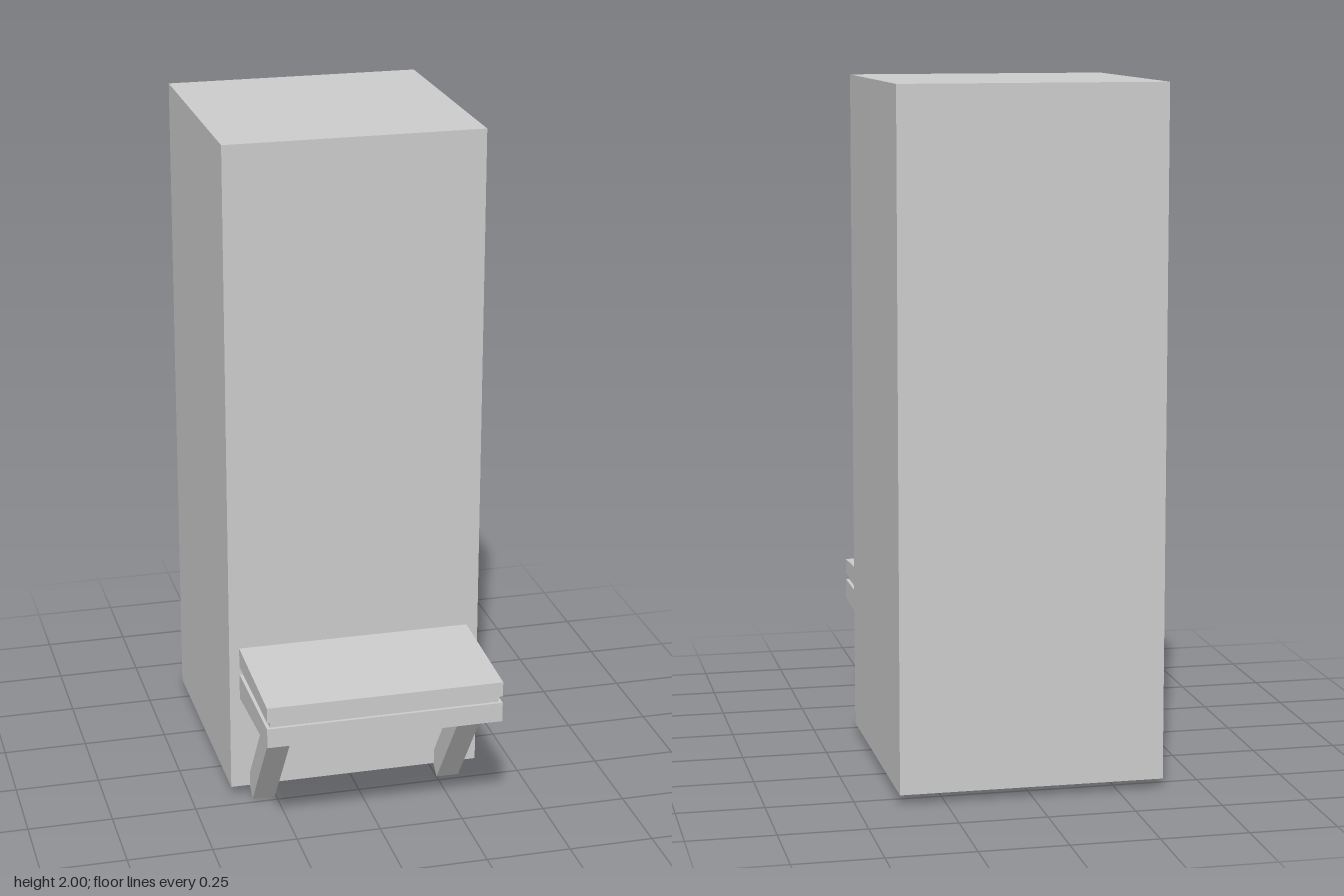
import * as THREE from 'three';

const material = new THREE.MeshStandardMaterial({ color: 0xcccccc, flatShading: true });

// Extrudes a [z, y] side profile across x, centred on the given x
function sideExtrusion(name, profile, width, x) {
  const shape = new THREE.Shape(profile.map(([z, y]) => new THREE.Vector2(-z, y)));
  const geometry = new THREE.ExtrudeGeometry(shape, { depth: width, bevelEnabled: false });
  geometry.translate(0, 0, -width / 2);
  geometry.rotateY(Math.PI / 2);
  geometry.translate(x, 0, 0);
  const mesh = new THREE.Mesh(geometry, material);
  mesh.name = name;
  return mesh;
}

export function createModel() {
  const group = new THREE.Group();
  group.name = 'columnWithBench';

  // Tall square column
  const column = new THREE.Mesh(new THREE.BoxGeometry(0.76, 1.97, 0.76), material);
  column.name = 'column';
  column.position.set(0, 1.015, -0.184);
  group.add(column);

  // Bench: tapered lower frame, recessed spacer, sloping seat
  const back = 0.19;
  group.add(
    sideExtrusion('benchFrame', [[back, 0.321], [0.564, 0.339], [0.564, 0.398], [back, 0.398]], 0.696, -0.002),
    sideExtrusion('benchSpacer', [[back, 0.396], [0.554, 0.396], [0.554, 0.422], [back, 0.424]], 0.676, -0.002),
    sideExtrusion('benchSeat', [[back, 0.424], [0.564, 0.418], [0.564, 0.463], [back, 0.483]], 0.696, -0.002),
  );

  // Diagonal struts from under the bench back to the foot of the column
  for (const [name, x] of [['rightStrut', -0.288], ['leftStrut', 0.284]]) {
    group.add(sideExtrusion(name, [[0.228, 0], [0.48, 0.336], [0.39, 0.334], [0.172, 0.042]], 0.068, x));
  }
  return group;
}
